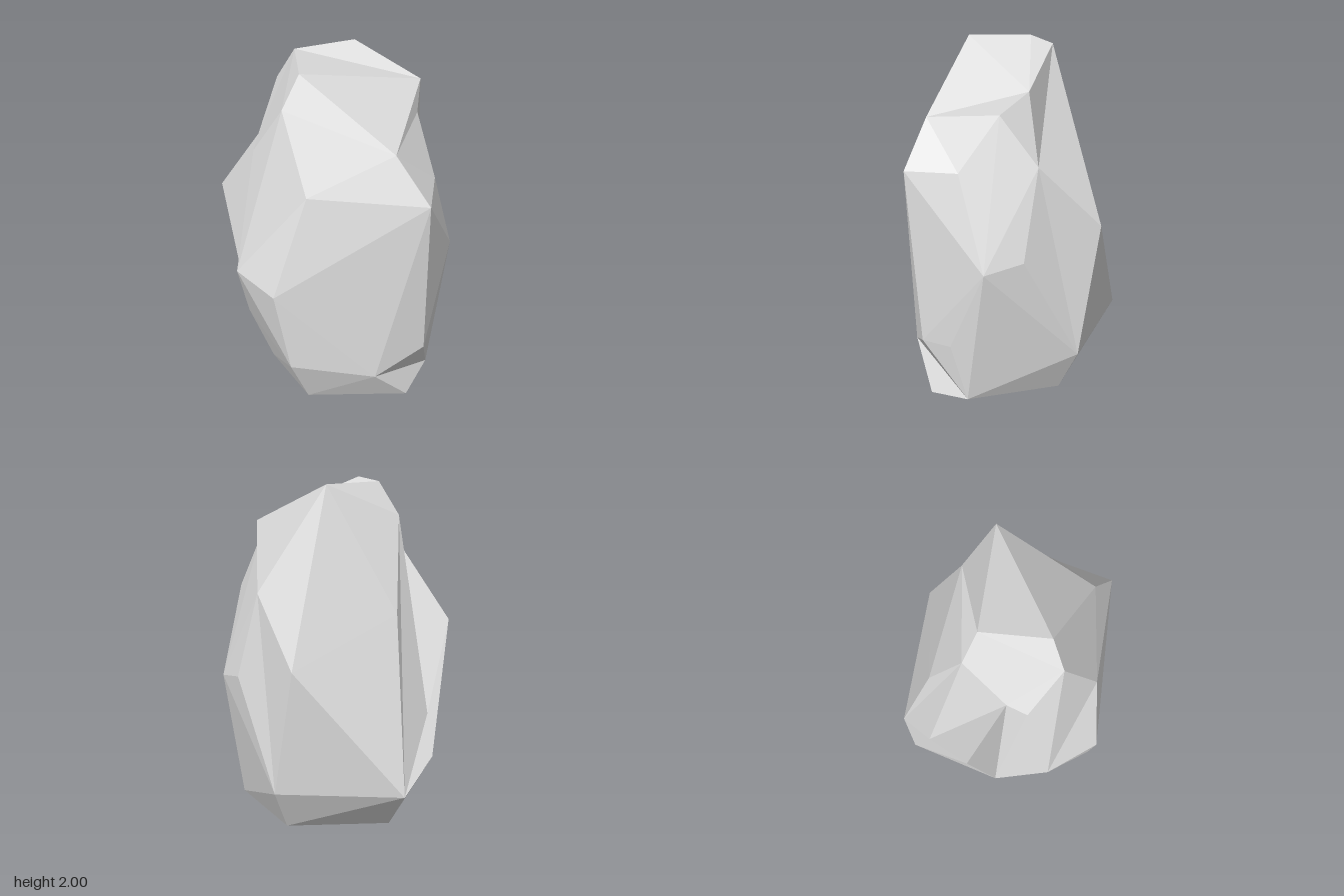
import * as THREE from 'three';
import { ConvexGeometry } from 'three/addons/geometries/ConvexGeometry.js';

// Corners of the boulder, ring by ring. A fourth value marks a dented corner:
// it is pushed out by that factor while the skin is found, then moved back.
const CORNERS = [
  // flat top: 0-3
  [-0.215, 2, -0.08], [-0.215, 2, 0.275], [0.12, 2, -0.19], [0.47, 1.81, -0.06],
  // shoulders: 4-14
  [-0.31, 1.84, 0.345], [-0.31, 1.82, -0.15], [0.43, 1.68, 0.09, 1.2], [0.25, 1.63, 0.485],
  [-0.43, 1.59, 0.08, 1.06], [-0.46, 1.55, 0.19], [-0.21, 1.44, 0.54], [0.49, 1.42, -0.11, 1.15],
  [0.5, 1.39, 0.305, 1.1], [0.42, 1.38, 0.595], [-0.23, 1.31, -0.36],
  // waist: 15-22
  [-0.655, 1.19, -0.11], [0.39, 1.06, -0.455], [0.6, 0.93, -0.035], [0.65, 0.88, 0.175],
  [-0.4, 0.88, 0.61], [-0.59, 0.88, 0.34], [-0.42, 0.72, -0.38, 1.2], [-0.41, 0.5, -0.49],
  // lower ring: 23-29
  [0.45, 0.4, 0.53], [0.53, 0.4, 0.37], [-0.32, 0.385, 0.605], [-0.545, 0.36, 0.03],
  [0.47, 0.32, -0.34], [-0.2, 0.33, -0.61], [0.16, 0.26, 0.6],
  // base: 30-36
  [-0.19, 0.07, -0.4], [0.38, 0.06, -0.24], [0.53, 0.065, 0.28], [-0.22, 0.06, 0.5],
  [0.37, 0.012, 0.5], [0.03, 0, 0.33], [-0.41, 0.008, 0.06],
];

// Ridges of the convex skin that are folded into valleys, in order
const VALLEYS = [
  [1, 2], // top slope
  [6, 13], [3, 16], // dent under the top and the facet behind it
  [4, 19], // front left facet
  [15, 20], [15, 9], // notch on the side
  [5, 15], [14, 15], [8, 14], [14, 21], [21, 26], // hollow behind the notch
  [20, 36], [20, 33], // crease above the base
  [24, 34], [23, 34], // lower front corner
];

// Turn the edge a-b shared by two triangles into the other diagonal
function flipEdge(tris, a, b) {
  const pair = tris.filter((t) => t.includes(a) && t.includes(b));
  if (pair.length !== 2) return;
  const [c, d] = pair.map((t) => t.find((i) => i !== a && i !== b));
  const first = pair[0];
  const forward = first[(first.indexOf(a) + 1) % 3] === b;
  const [p, q] = forward ? [a, b] : [b, a];
  tris.splice(tris.indexOf(pair[0]), 1, [p, d, c]);
  tris.splice(tris.indexOf(pair[1]), 1, [d, q, c]);
}

function boulderGeometry() {
  const points = CORNERS.map(([x, y, z]) => new THREE.Vector3(x, y, z));
  const pushed = CORNERS.map(([x, y, z, k = 1]) => new THREE.Vector3(x * k, y, z * k));
  const hull = new ConvexGeometry(pushed).getAttribute('position');

  // Read the skin back as corner numbers
  const tris = [];
  const v = new THREE.Vector3();
  for (let i = 0; i < hull.count; i += 3) {
    tris.push([0, 1, 2].map((k) => {
      v.fromBufferAttribute(hull, i + k);
      return pushed.findIndex((p) => p.distanceTo(v) < 1e-4);
    }));
  }
  VALLEYS.forEach(([a, b]) => flipEdge(tris, a, b));

  const geometry = new THREE.BufferGeometry().setFromPoints(tris.flat().map((i) => points[i]));
  geometry.computeVertexNormals();
  return geometry;
}

export function createModel() {
  const group = new THREE.Group();
  group.name = 'rock';
  const stone = new THREE.MeshStandardMaterial({ color: 0xe1e1e1, flatShading: true });
  stone.name = 'pale stone';
  const boulder = new THREE.Mesh(boulderGeometry(), stone);
  boulder.name = 'boulder';
  group.add(boulder);
  return group;
}
